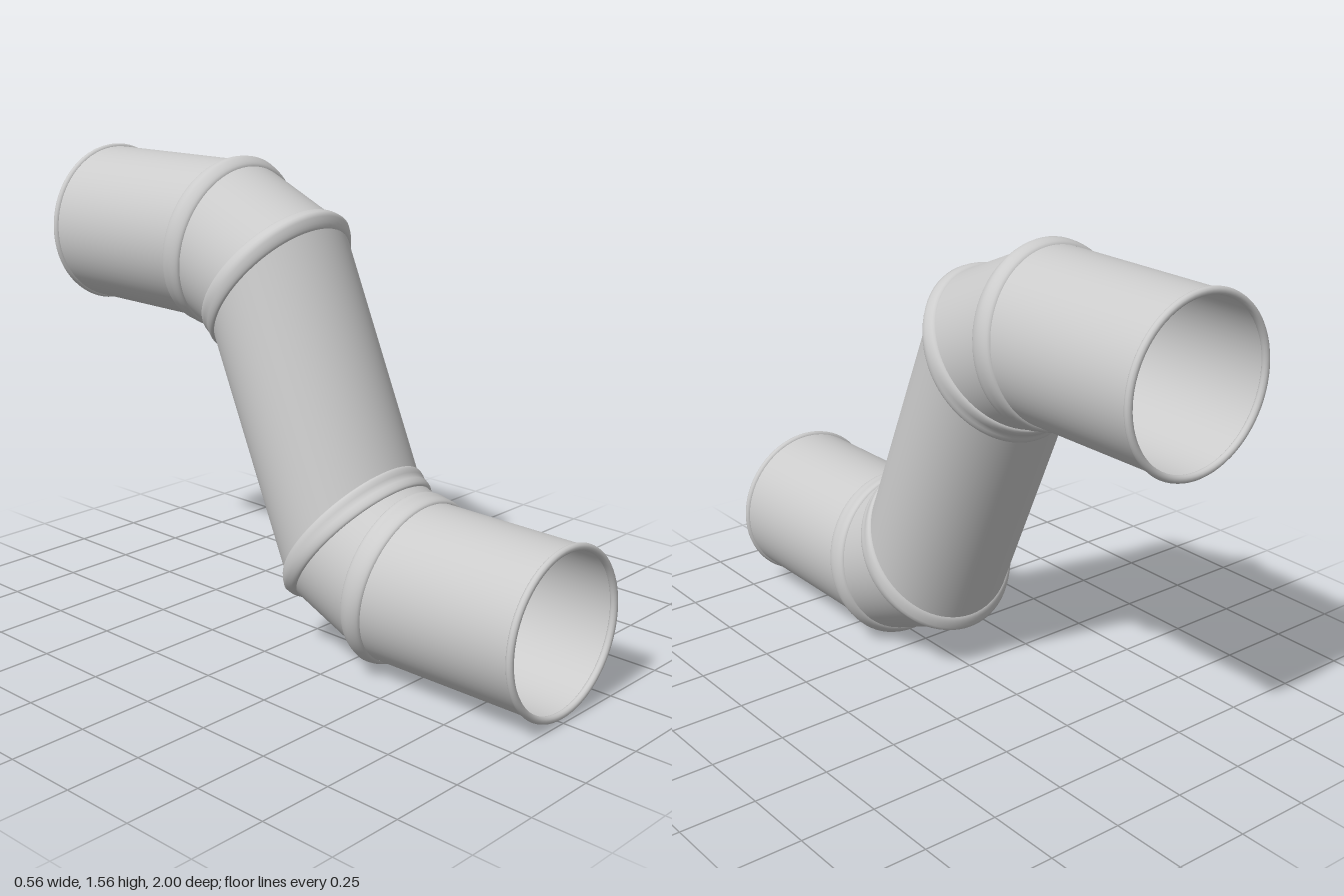
import * as THREE from 'three';

const SIDES = 72, RX = 0.264, HEIGHT = 1.56;
const material = new THREE.MeshStandardMaterial({ color: 0xcccccc, side: THREE.DoubleSide });

// Elliptical section given by its topmost and bottommost points (z, y)
function section(topZ, topY, botZ, botY) {
  return {
    c: new THREE.Vector3(0, (topY + botY) / 2, (topZ + botZ) / 2),
    h: new THREE.Vector3(0, (topY - botY) / 2, (topZ - botZ) / 2),
    rx: RX,
  };
}

// Same section turned half a turn about the middle of the model
function turned(s) {
  return { c: new THREE.Vector3(0, HEIGHT - s.c.y, -s.c.z), h: s.h, rx: s.rx };
}

// Smooth open skin through a row of sections
function loft(sections) {
  const pos = [], index = [];
  for (const s of sections) {
    for (let i = 0; i < SIDES; i++) {
      const a = (i / SIDES) * Math.PI * 2;
      const p = s.c.clone().addScaledVector(s.h, Math.cos(a));
      pos.push(s.rx * Math.sin(a), p.y, p.z);
    }
  }
  for (let j = 0; j < sections.length - 1; j++) {
    for (let i = 0; i < SIDES; i++) {
      const k = (i + 1) % SIDES, r = j * SIDES, n = r + SIDES;
      index.push(r + i, r + k, n + i, r + k, n + k, n + i);
    }
  }
  const g = new THREE.BufferGeometry();
  g.setAttribute('position', new THREE.Float32BufferAttribute(pos, 3));
  g.setIndex(index);
  g.computeVertexNormals();
  return g;
}

// Raised rounded seam that follows the pipe axis on both sides of a joint
function bead(prev, s, next) {
  const width = 0.04, rise = 0.016, rows = [];
  const back = prev.c.clone().sub(s.c).normalize();
  const ahead = next.c.clone().sub(s.c).normalize();
  for (let i = 0; i <= 12; i++) {
    const a = (i / 12) * Math.PI, t = -Math.cos(a), r = rise * Math.sin(a);
    rows.push({
      c: s.c.clone().addScaledVector(t < 0 ? back : ahead, Math.abs(t) * width),
      h: s.h.clone().setLength(s.h.length() + r),
      rx: s.rx + r,
    });
  }
  return loft(rows);
}

export function createModel() {
  const group = new THREE.Group();
  const add = (name, geometry) => {
    const mesh = new THREE.Mesh(geometry, material);
    mesh.name = name;
    group.add(mesh);
    return mesh;
  };

  // Sections along the pipe, front to back
  const half = [
    section(0.998, 0.549, 0.998, 0.021),
    section(0.436, 0.554, 0.345, 0.018),
    section(0.336, 0.6, 0.006, 0.165),
  ];
  const path = [...half, ...half.map(turned).reverse()];

  // Pipe pieces
  const names = ['frontPipe', 'lowerElbow', 'risingPipe', 'upperElbow', 'backPipe'];
  names.forEach((name, i) => add(name, loft([path[i], path[i + 1]])));

  // Seam beads at the four joints
  for (let i = 1; i < path.length - 1; i++) {
    add('seamBead' + i, bead(path[i - 1], path[i], path[i + 1]));
  }

  // Rolled rims at the open ends
  for (const [name, s, z] of [['frontRim', path[0], 0.988], ['backRim', path[5], -0.988]]) {
    add(name, new THREE.TorusGeometry(0.261, 0.012, 12, SIDES)).position.set(0, s.c.y, z);
  }
  return group;
}
